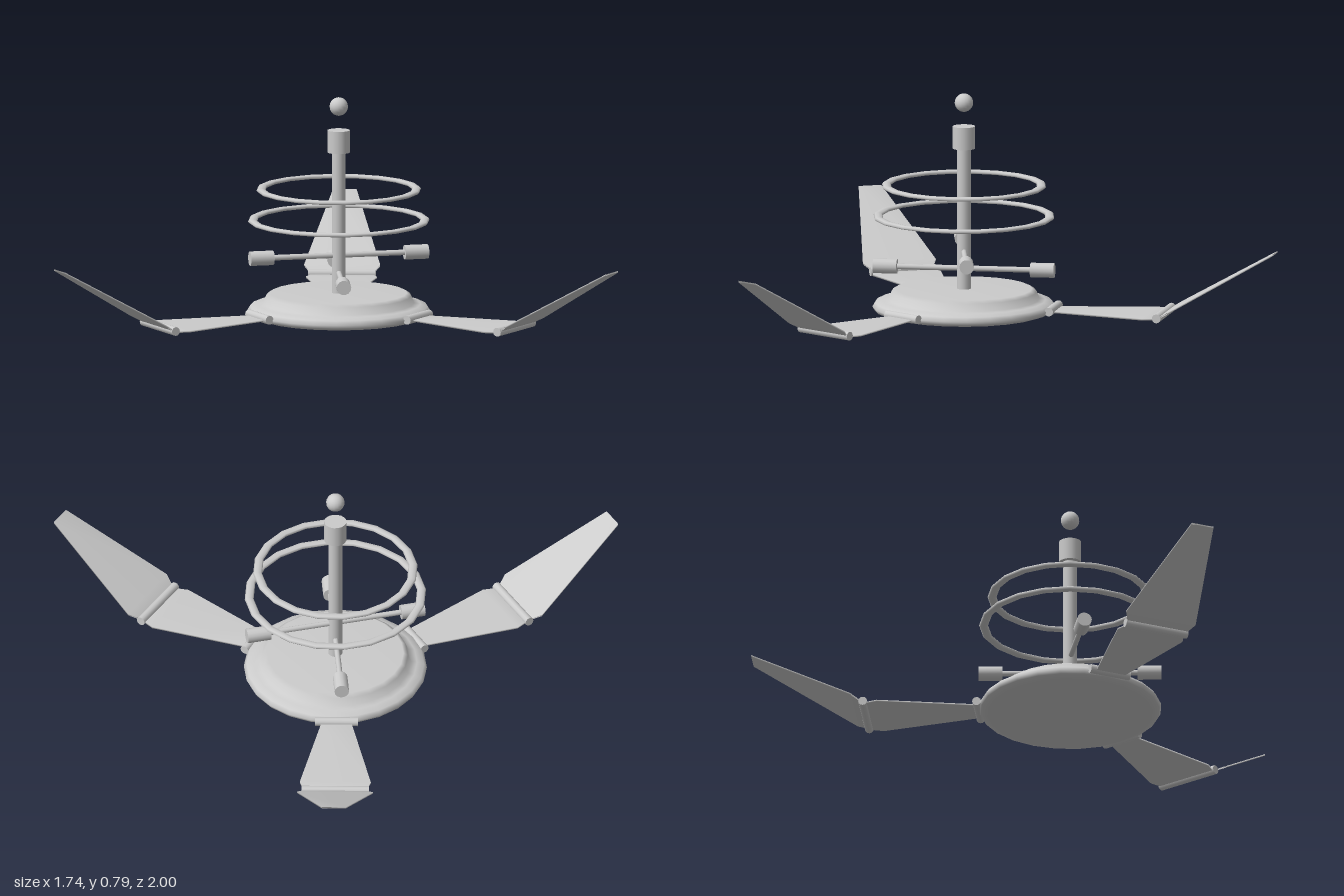
import * as THREE from 'three';

const mat = new THREE.MeshStandardMaterial({ color: 0xcccccc, side: THREE.DoubleSide });

function add(parent, name, geometry, x = 0, y = 0, z = 0) {
  const mesh = new THREE.Mesh(geometry, mat);
  mesh.name = name;
  mesh.position.set(x, y, z);
  parent.add(mesh);
  return mesh;
}

// Thin leaf running along +x; stations are [distance, half width, height]
function leafGeometry(stations, thickness = 0.006) {
  const t = thickness / 2, pos = [], idx = [];
  for (const [x, w, y] of stations) {
    pos.push(x, y - t, -w, x, y - t, w, x, y + t, w, x, y + t, -w);
  }
  const quad = (a, b, c, d) => idx.push(a, b, c, a, c, d);
  const last = (stations.length - 1) * 4;
  for (let s = 0; s < last; s += 4) {
    for (let k = 0; k < 4; k++) {
      const n = (k + 1) % 4;
      quad(s + k, s + 4 + k, s + 4 + n, s + n);
    }
  }
  quad(0, 1, 2, 3);
  quad(last + 3, last + 2, last + 1, last);
  const g = new THREE.BufferGeometry();
  g.setAttribute('position', new THREE.Float32BufferAttribute(pos, 3));
  g.setIndex(idx);
  g.computeVertexNormals();
  return g;
}

export function createModel() {
  const model = new THREE.Group();
  model.name = 'lander';
  const craft = new THREE.Group();
  craft.name = 'craft';
  craft.position.set(-0.265, 0, -0.008);
  model.add(craft);

  // Low round body with a stepped lid
  const profile = [
    [0, 0.004], [0.29, 0.004], [0.318, 0.014], [0.325, 0.027], [0.315, 0.042],
    [0.29, 0.05], [0.268, 0.054], [0.258, 0.08], [0.242, 0.09], [0, 0.09],
  ].map(([r, y]) => new THREE.Vector2(r, y));
  add(craft, 'body', new THREE.LatheGeometry(profile, 24));

  // Mast, cap and the ball floating above it
  add(craft, 'mast', new THREE.CylinderGeometry(0.025, 0.025, 0.51, 16), 0, 0.345, 0);
  add(craft, 'mastCap', new THREE.CylinderGeometry(0.04, 0.04, 0.08, 16), 0, 0.635, 0);
  add(craft, 'topBall', new THREE.SphereGeometry(0.033, 16, 12), 0, 0.76, 0);

  // Two flattened antenna rings
  for (const [name, radius, y] of [['lowerRing', 0.307, 0.35], ['upperRing', 0.277, 0.461]]) {
    const g = new THREE.TorusGeometry(radius, 0.016, 8, 20);
    g.rotateX(Math.PI / 2);
    g.scale(1, 0.5, 1);
    add(craft, name, g, 0, y, 0);
  }

  // Crossed booms, each with a weight at both ends
  for (const [name, y, angle] of [['lowerBoom', 0.163, -0.964], ['upperBoom', 0.225, Math.PI / 4]]) {
    const boom = new THREE.Group();
    boom.name = name;
    boom.position.y = y;
    boom.rotation.y = angle;
    craft.add(boom);
    add(boom, 'rod', new THREE.CylinderGeometry(0.01, 0.01, 0.5, 10).rotateZ(Math.PI / 2));
    for (const side of [-1, 1]) {
      const g = new THREE.CylinderGeometry(0.026, 0.026, 0.085, 14).rotateZ(Math.PI / 2);
      add(boom, 'weight', g, side * 0.282, 0, 0);
    }
  }

  // Three hinged arms, each a flat inner leaf and a raised outer leaf
  const rise = (r) => 0.03 + (r - 0.73) * 0.575;
  for (let i = 0; i < 3; i++) {
    const arm = new THREE.Group();
    arm.name = 'arm';
    arm.rotation.y = (i * Math.PI * 2) / 3;
    craft.add(arm);
    const hinge = (length) => new THREE.CylinderGeometry(0.016, 0.016, length, 12).rotateX(Math.PI / 2);
    add(arm, 'rootHinge', hinge(0.153), 0.325, 0.03, -0.008);
    add(arm, 'elbowHinge', hinge(0.24), 0.727, 0.03, -0.008);
    const inner = [[0.33, 0.053], [0.676, 0.126], [0.715, 0.113]];
    const outer = [[0.738, 0.115], [0.77, 0.135], [1.132, 0.042]];
    add(arm, 'innerLeaf', leafGeometry(inner.map(([r, w]) => [r, w, 0.026])), 0, 0, -0.008);
    add(arm, 'outerLeaf', leafGeometry(outer.map(([r, w]) => [r, w, rise(r)])), 0, 0, -0.008);
  }
  return model;
}
